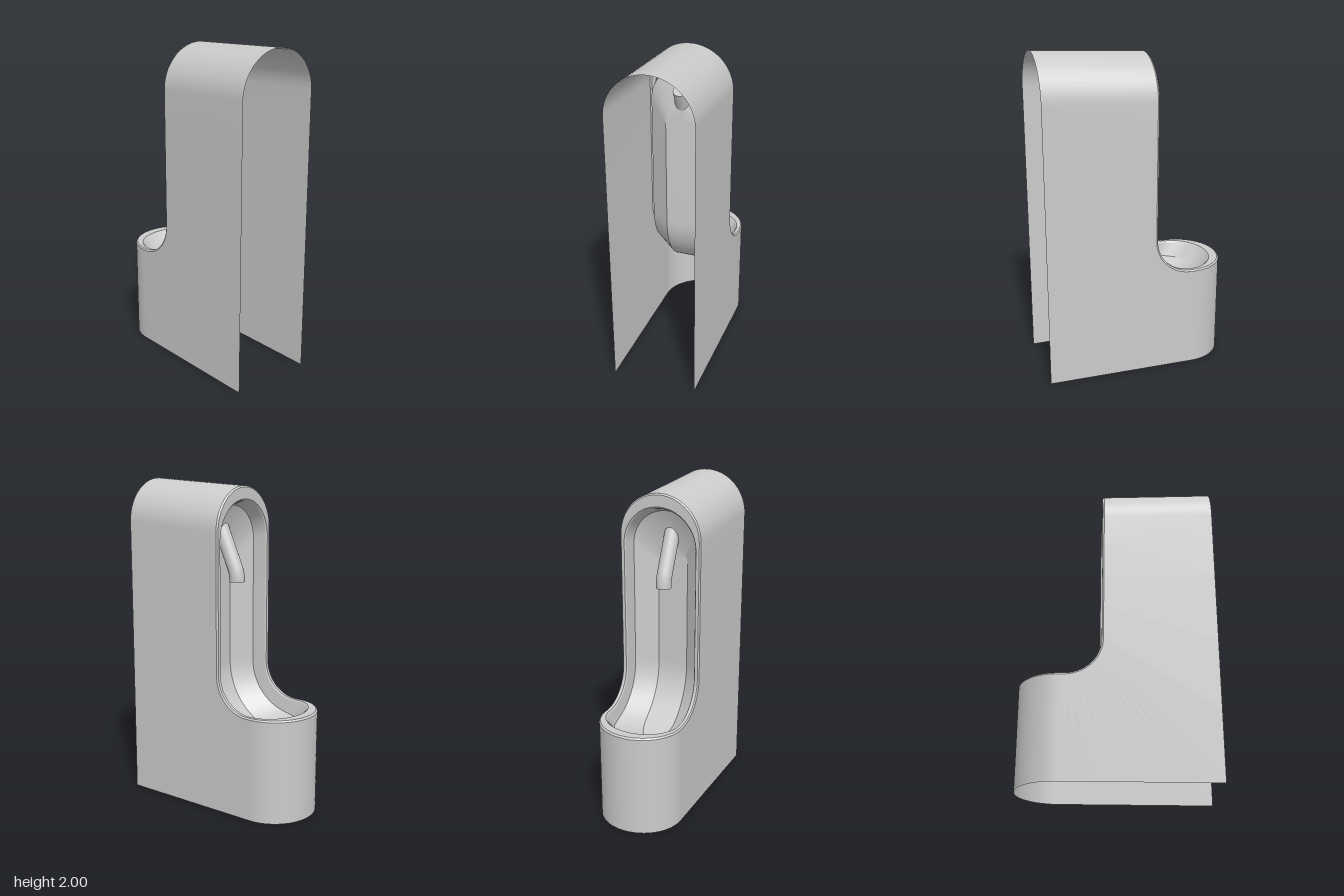
import * as THREE from 'three';
import { toCreasedNormals } from 'three/addons/utils/BufferGeometryUtils.js';

const FLAT = 0.27, R = 0.22, FILLET = R * Math.PI / 2;
const BEND_END = FLAT + FILLET;
const ARC = 16, BEND = 14, UP = 4;
const BACK = 0.59, RISE = 0.035;

// Point on the L-shaped front profile at length s, pushed d into the body
function profile(s, d, z) {
  if (s < FLAT) return new THREE.Vector3(-0.59 + s, 0.64 - d, z);
  if (s < BEND_END) {
    const a = (s - FLAT) / R;
    return new THREE.Vector3(-0.32 + (R + d) * Math.sin(a), 0.86 - (R + d) * Math.cos(a), z);
  }
  return new THREE.Vector3(-0.1 + d, 0.86 + s - BEND_END, z);
}

// Half outline (z >= 0) from bowl tip to arch top
function ring({ front, frontLen, w, top, topLen = w, d, flatten = 1 }) {
  const pts = [];
  const sTop = top - 0.86 + BEND_END;
  const s0 = front + frontLen, s1 = sTop - topLen;
  for (let i = 0; i < ARC; i++) {
    const t = i / ARC * Math.PI / 2;
    pts.push(profile(front + frontLen * (1 - Math.cos(t)), d, flatten * w * Math.sin(t)));
  }
  for (let i = 0; i < BEND; i++) pts.push(profile(s0 + (BEND_END - s0) * i / BEND, d, flatten * w));
  for (let i = 0; i < UP; i++) pts.push(profile(BEND_END + (s1 - BEND_END) * i / UP, d, flatten * w));
  for (let i = 0; i <= ARC; i++) {
    const t = i / ARC * Math.PI / 2;
    pts.push(profile(s1 + topLen * Math.sin(t), d, flatten * w * Math.cos(t)));
  }
  return pts;
}

// Open bottom and back outline matching the shell's front edge
function baseRing(edge) {
  const x0 = edge[ARC].x, yArch = edge[ARC + BEND + UP].y + RISE;
  return edge.map((p, i) => {
    if (i < ARC) return new THREE.Vector3(p.x, 0, p.z);
    if (i < ARC + BEND) return new THREE.Vector3(x0 + (BACK - x0) * (i - ARC) / BEND, 0, p.z);
    if (i < ARC + BEND + UP) return new THREE.Vector3(BACK, yArch * (i - ARC - BEND) / UP, p.z);
    return new THREE.Vector3(BACK, p.y + RISE, p.z);
  });
}

// Skin between successive half outlines, mirrored across z
function loft(rings) {
  const pos = [];
  const tri = (a, b, c) => {
    const area = b.clone().sub(a).cross(c.clone().sub(a)).length();
    if (area < 1e-9) return;
    for (const p of [a, b, c]) pos.push(p.x, p.y, p.z);
    for (const p of [a, c, b]) pos.push(p.x, p.y, -p.z);
  };
  for (let r = 0; r + 1 < rings.length; r++) {
    const A = rings[r], B = rings[r + 1];
    for (let i = 0; i + 1 < A.length; i++) {
      tri(B[i], A[i], A[i + 1]);
      tri(B[i], A[i + 1], B[i + 1]);
    }
  }
  const geo = new THREE.BufferGeometry();
  geo.setAttribute('position', new THREE.Float32BufferAttribute(pos, 3));
  return toCreasedNormals(geo, 0.5);
}

export function createModel() {
  const group = new THREE.Group();
  const material = new THREE.MeshStandardMaterial({ color: 0xcccccc, side: THREE.DoubleSide });
  const add = (name, geo) => {
    const mesh = new THREE.Mesh(geo, material);
    mesh.name = name;
    group.add(mesh);
    return mesh;
  };

  const edge = ring({ front: 0, frontLen: 0.25, w: 0.262, top: 1.968, d: 0.01 });
  const rimOuter = ring({ front: 0.01, frontLen: 0.24, w: 0.255, top: 1.96, d: 0 });
  const rimInner = ring({ front: 0.065, frontLen: 0.2, w: 0.235, top: 1.89, d: 0 });
  const lip = ring({ front: 0.075, frontLen: 0.2, w: 0.229, top: 1.88, d: 0.01 });
  const wallEnd = ring({ front: 0.15, frontLen: 0.19, w: 0.22, top: 1.85, d: 0.095 });
  const floorShape = { front: 0.308, frontLen: 0.1, w: 0.097, top: 1.63, topLen: 0.12, d: 0.185 };

  // Outer housing, open at the bottom and back
  add('housing', loft([baseRing(edge), edge]));
  // Bevelled rim around the recess
  add('rim', loft([edge, rimOuter, rimInner, lip]));
  // Recess: side wall, sloped band, then flat back and bowl floor
  add('recess', loft([lip, wallEnd, ring(floorShape), ring({ ...floorShape, flatten: 0 })]));

  // Spout leaning down out of the recess, with a short bent outlet
  const path = new THREE.CurvePath();
  const p = [[0.09, 1.74], [-0.03, 1.47], [-0.045, 1.435], [-0.045, 1.39]]
    .map(([x, y]) => new THREE.Vector3(x, y, 0));
  path.add(new THREE.LineCurve3(p[0], p[1]));
  path.add(new THREE.QuadraticBezierCurve3(p[1], p[2], p[3]));
  const radius = 0.047;
  add('spout', new THREE.TubeGeometry(path, 24, radius, 20));
  for (const [name, u, dir] of [['spoutTop', 0, -1], ['spoutOutlet', 1, 1]]) {
    const cap = add(name, new THREE.CircleGeometry(radius, 20));
    cap.position.copy(path.getPointAt(u));
    const normal = path.getTangentAt(u).multiplyScalar(dir);
    cap.quaternion.setFromUnitVectors(new THREE.Vector3(0, 0, 1), normal);
  }
  return group;
}
